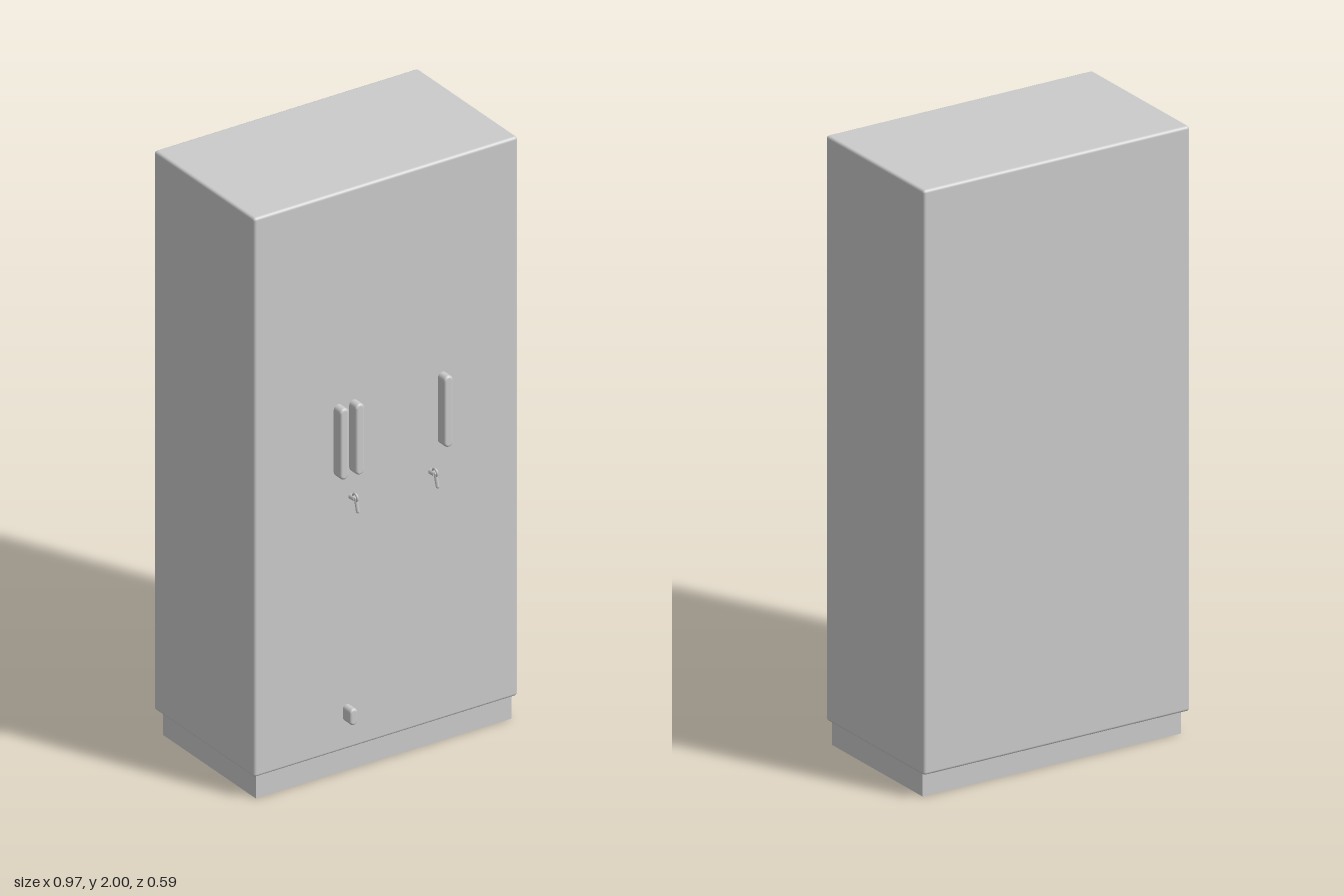
import * as THREE from 'three';
import { RoundedBoxGeometry } from 'three/addons/geometries/RoundedBoxGeometry.js';

const material = new THREE.MeshStandardMaterial({ color: 0xcccccc });
const FRONT = 0.253; // z of the door face

export function createModel() {
  const group = new THREE.Group();
  const add = (name, geometry, x, y, z, parent = group) => {
    const mesh = new THREE.Mesh(geometry, material);
    mesh.name = name;
    mesh.position.set(x, y, z);
    parent.add(mesh);
    return mesh;
  };

  // Cabinet body with softly rounded edges
  add('cabinetBody', new RoundedBoxGeometry(0.97, 1.92, 0.546, 3, 0.01), 0, 1.04, -0.02);

  // Plinth: a hollow frame, open underneath
  const rect = (path, w, d) => path.moveTo(-w, -d).lineTo(w, -d).lineTo(w, d).lineTo(-w, d).closePath();
  const frame = rect(new THREE.Shape(), 0.47, 0.252);
  frame.holes.push(rect(new THREE.Path(), 0.44, 0.222));
  const plinth = new THREE.ExtrudeGeometry(frame, { depth: 0.085, bevelEnabled: false });
  plinth.rotateX(-Math.PI / 2);
  add('plinth', plinth, 0, 0, -0.012);
  add('plinthCeiling', new THREE.BoxGeometry(0.9, 0.03, 0.46), 0, 0.07, -0.012);

  // Upright pulls: rounded slot outlines, bevelled outward from the door
  const slotGeometry = (halfWidth, halfHeight, depth) => {
    const bevel = halfWidth * 0.5, r = halfWidth - bevel, h = halfHeight - halfWidth;
    const slot = new THREE.Shape();
    slot.absarc(0, h, r, 0, Math.PI);
    slot.absarc(0, -h, r, Math.PI, Math.PI * 2);
    return new THREE.ExtrudeGeometry(slot, {
      depth: depth - bevel, bevelThickness: bevel, bevelSize: bevel, bevelSegments: 4, curveSegments: 8,
    });
  };
  for (const x of [-0.177, -0.12, 0.206]) {
    add('doorHandle', slotGeometry(0.016, 0.122, 0.038), x, 1.152, FRONT);
  }
  add('drawerKnob', slotGeometry(0.014, 0.028, 0.041), -0.145, 0.207, FRONT);

  // Locks, each with a key hanging from a ring
  for (const x of [-0.13, 0.163]) {
    const lock = new THREE.Group();
    lock.name = 'lockWithKey';
    lock.position.set(x, 0.945, FRONT);
    group.add(lock);
    const barrel = new THREE.CylinderGeometry(0.008, 0.009, 0.026, 12).rotateX(Math.PI / 2);
    add('lockBarrel', barrel, 0, 0, 0.012, lock);
    const ring = add('keyRing', new THREE.TorusGeometry(0.012, 0.004, 6, 14), 0, 0.006, 0.024, lock);
    ring.rotation.y = Math.PI / 2;
    const key = add('hangingKey', new THREE.CapsuleGeometry(0.006, 0.042, 4, 8), 0.001, -0.018, 0.031, lock);
    key.rotation.set(-0.15, 0, 0.08);
  }

  return group;
}
